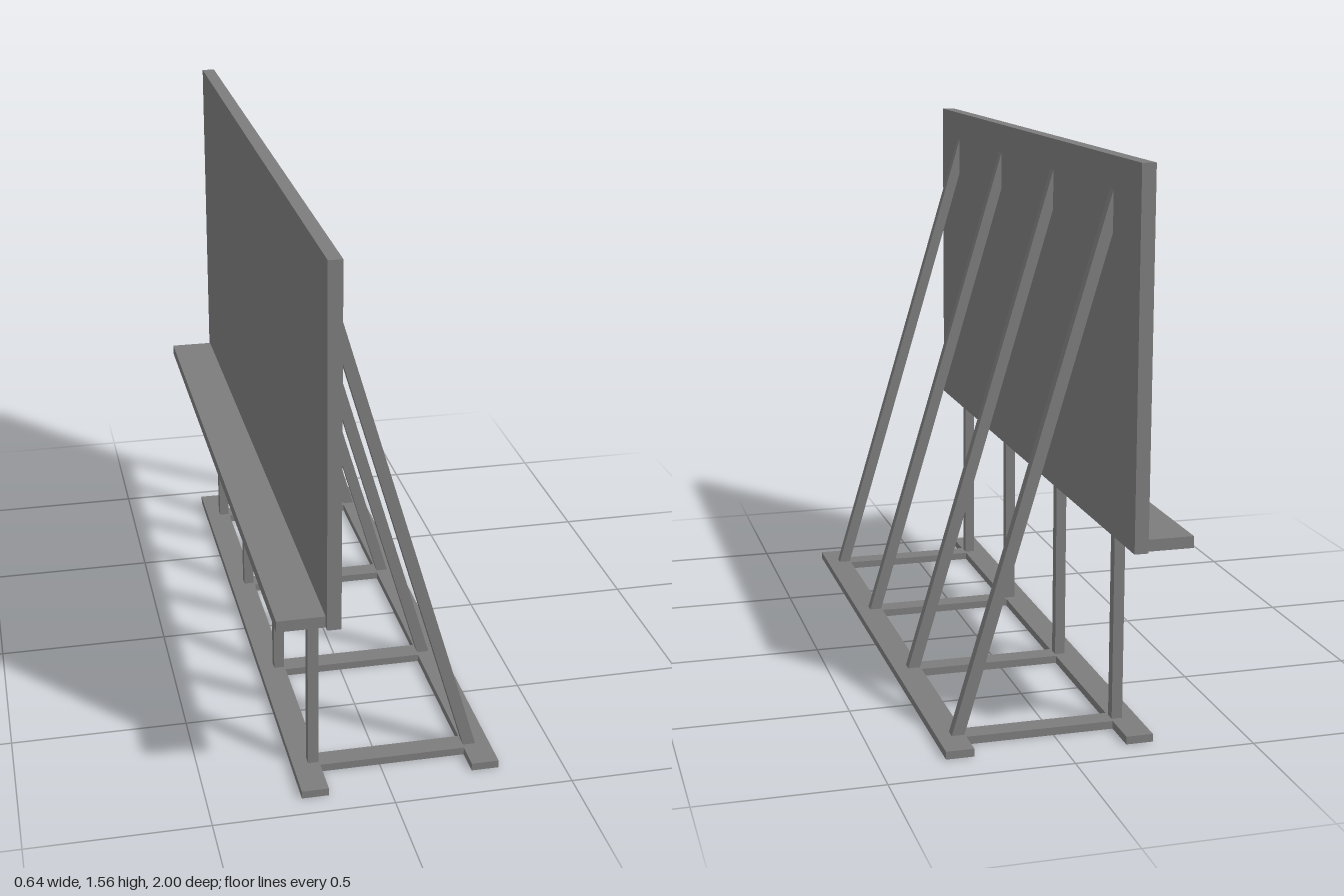
import * as THREE from 'three';

const material = new THREE.MeshStandardMaterial({ color: 0x7c7c7c });

// Box given by its limits along each axis
function box(name, [x0, x1], [y0, y1], [z0, z1]) {
  const mesh = new THREE.Mesh(new THREE.BoxGeometry(x1 - x0, y1 - y0, z1 - z0), material);
  mesh.position.set((x0 + x1) / 2, (y0 + y1) / 2, (z0 + z1) / 2);
  mesh.name = name;
  return mesh;
}

export function createModel() {
  const model = new THREE.Group();
  model.name = 'bracedBoard';
  const baseTop = 0.022;
  const boardBottom = 0.556;
  const boardBack = -0.152;

  // Upright board and the shelf along its lower edge
  model.add(box('board', [-0.19, boardBack], [boardBottom, 1.557], [-1, 1]));
  model.add(box('shelf', [-0.32, -0.19], [boardBottom, 0.588], [-0.985, 0.983]));

  // Two long base runners
  model.add(box('boardSideRunner', [-0.244, -0.169], [0, baseTop], [-0.919, 0.93]));
  model.add(box('braceSideRunner', [0.243, 0.32], [0, baseTop], [-0.889, 0.897]));

  // Sloping brace profile: cut vertically at the board and flat at the base
  const braceShape = new THREE.Shape([
    new THREE.Vector2(0.245, baseTop),
    new THREE.Vector2(0.28, baseTop),
    new THREE.Vector2(boardBack, 1.47),
    new THREE.Vector2(boardBack, 1.358),
  ]);
  const braceWidth = 0.03;
  const braceGeometry = new THREE.ExtrudeGeometry(braceShape, { depth: braceWidth, bevelEnabled: false });
  braceGeometry.translate(0, 0, -braceWidth / 2);

  // Four frames, each a crossbar, a post and a brace
  [0.786, 0.273, -0.264, -0.778].forEach((z) => {
    const frame = new THREE.Group();
    frame.name = 'supportFrame';
    frame.position.z = z;
    frame.add(box('crossbar', [-0.169, 0.243], [0, baseTop], [-0.03, 0.03]));
    frame.add(box('post', [-0.201, -0.171], [baseTop, boardBottom], [-0.015, 0.015]));
    const brace = new THREE.Mesh(braceGeometry, material);
    brace.name = 'brace';
    frame.add(brace);
    model.add(frame);
  });

  return model;
}
